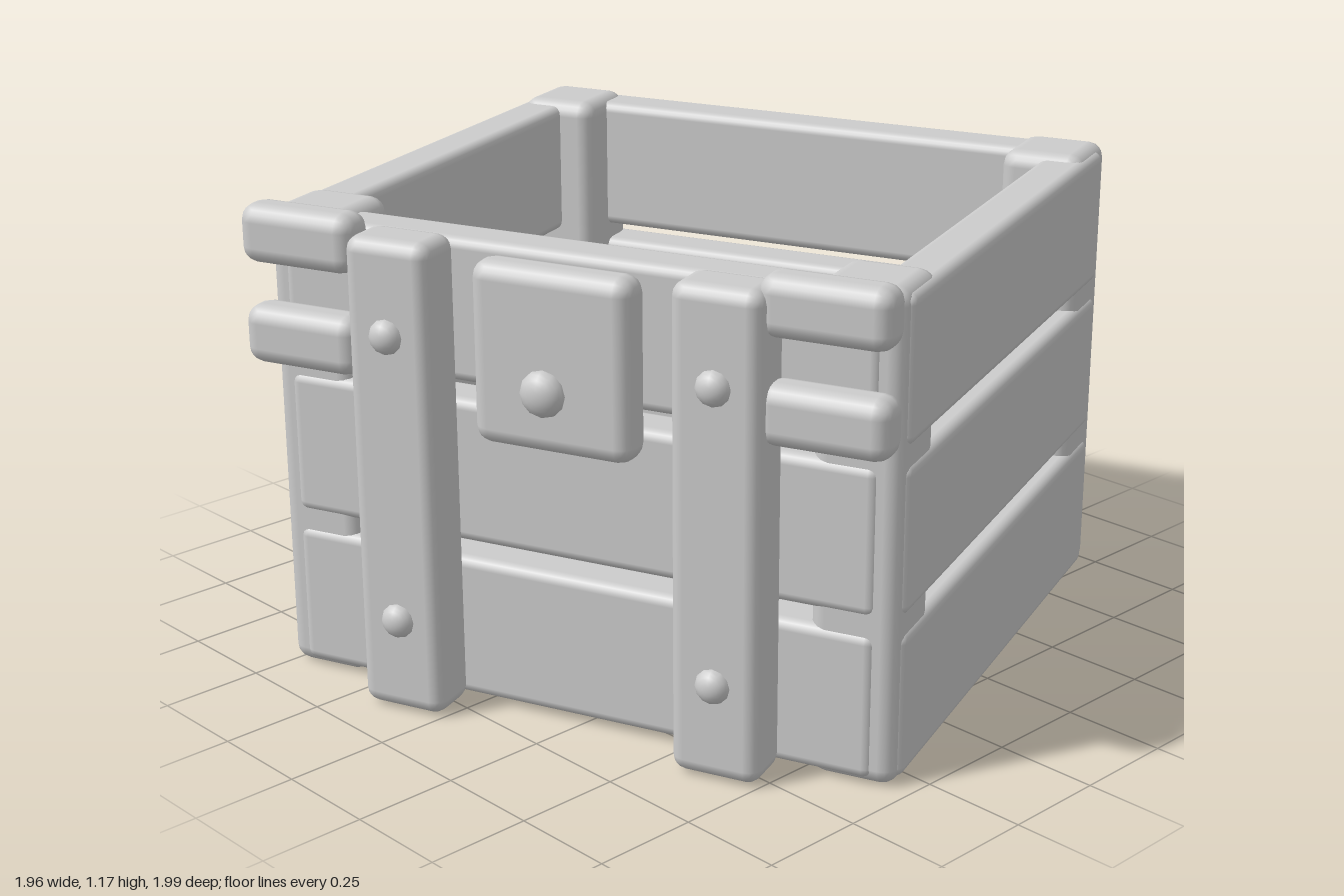
import * as THREE from 'three';
import { RoundedBoxGeometry } from 'three/addons/geometries/RoundedBoxGeometry.js';

export function createModel() {
  const model = new THREE.Group();
  model.name = 'crate';
  const crate = new THREE.Group();
  crate.name = 'turnedCrate';
  crate.rotation.y = 0.362;
  model.add(crate);

  const wood = new THREE.MeshStandardMaterial({ color: 0xcccccc });
  wood.name = 'plainGrey';

  // Soft-edged block given by its limits on each axis
  function block(name, [x0, x1], [y0, y1], [z0, z1], radius) {
    const geometry = new RoundedBoxGeometry(x1 - x0, y1 - y0, z1 - z0, 2, radius);
    const mesh = new THREE.Mesh(geometry, wood);
    mesh.position.set((x0 + x1) / 2, (y0 + y1) / 2, (z0 + z1) / 2);
    mesh.name = name;
    crate.add(mesh);
  }

  // Domed bolt head on the right-hand wall
  function bolt(name, x, y, z, radius, height) {
    const geometry = new THREE.SphereGeometry(radius, 12, 6, 0, Math.PI * 2, 0, Math.PI / 2);
    geometry.scale(1, height / radius, 1);
    geometry.rotateZ(Math.PI / 2);
    const mesh = new THREE.Mesh(geometry, wood);
    mesh.position.set(x, y, z);
    mesh.name = name;
    crate.add(mesh);
  }

  // Floor panel
  block('floor', [-0.6, 0.72], [0.01, 0.05], [-0.74, 0.74], 0.006);

  // Corner posts
  for (const x of [[-0.655, -0.45], [0.55, 0.77]]) {
    for (const z of [[-0.785, -0.575], [0.575, 0.785]]) {
      block('cornerPost', x, [0.005, 1.155], z, 0.04);
    }
  }

  // Three rows of wall boards
  for (const y of [[0.02, 0.37], [0.41, 0.76], [0.8, 1.14]]) {
    block('frontBoard', [-0.63, 0.72], y, [0.67, 0.793], 0.025);
    block('backBoard', [-0.63, 0.72], y, [-0.793, -0.665], 0.025);
    block('leftBoard', [0.65, 0.778], y, [-0.74, 0.735], 0.025);
    block('rightBoard', [-0.662, -0.54], y, [-0.74, 0.735], 0.025);
  }

  // Upright battens with bolts
  for (const z of [[-0.5, -0.285], [0.3, 0.515]]) {
    block('batten', [-0.785, -0.645], [0.01, 1.15], z, 0.035);
    for (const y of [0.24, 0.93]) bolt('battenBolt', -0.78, y, (z[0] + z[1]) / 2, 0.042, 0.035);
  }

  // Hinge blocks at the upper corners
  for (const z of [[-0.8, -0.5], [0.485, 0.79]]) {
    for (const y of [[0.8, 0.94], [1.04, 1.18]]) block('hingeBlock', [-0.755, -0.65], y, z, 0.04);
  }

  // Latch plate with its bolt
  block('latchPlate', [-0.745, -0.645], [0.695, 1.12], [-0.205, 0.19], 0.04);
  bolt('latchBolt', -0.743, 0.84, -0.02, 0.055, 0.04);

  return model;
}
